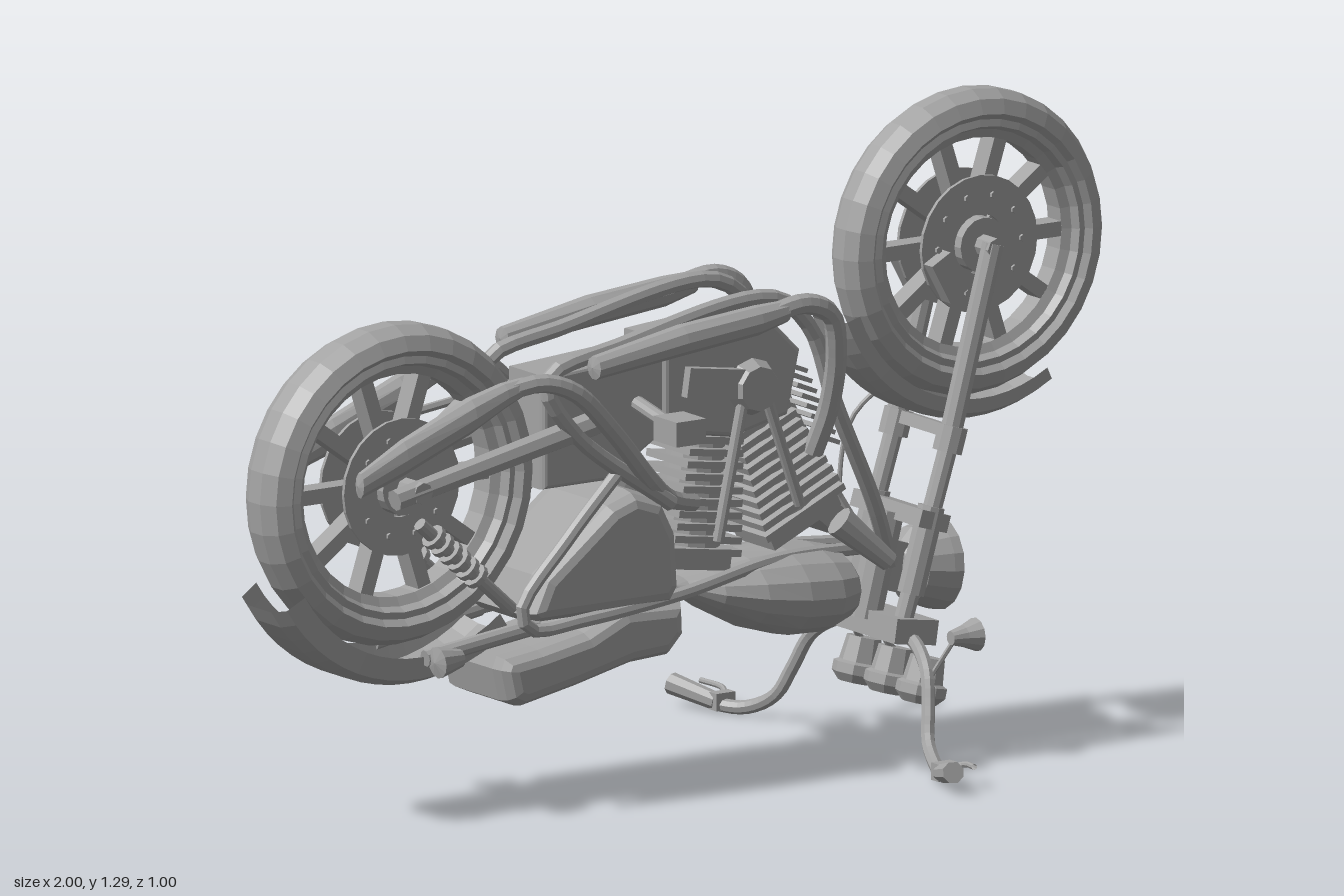
import * as THREE from 'three';

const metal = new THREE.MeshStandardMaterial({ color: 0xa3a3a3, side: THREE.DoubleSide, flatShading: true });
metal.name = 'grey metal';
const V = (x, y, z) => new THREE.Vector3(x, y, z);
const P2 = pts => pts.map(p => new THREE.Vector2(...p));

export function createModel() {
  const root = new THREE.Group();
  root.name = 'motorcycle';
  const bike = new THREE.Group();
  bike.name = 'upturnedBike';
  bike.rotation.y = 0.03;
  bike.position.z = 0.018;
  root.add(bike);

  const add = (name, geo, parent = bike) => {
    const m = new THREE.Mesh(geo, metal);
    m.name = name;
    parent.add(m);
    return m;
  };
  const box = (name, x, y, z, w, h, d, rot = 0) => {
    const m = add(name, new THREE.BoxGeometry(w, h, d));
    m.position.set(x, y, z);
    m.rotation.z = rot;
    return m;
  };
  // straight rod, optionally tapered
  const rod = (name, a, b, r0, r1 = r0, n = 10, parent = bike) => {
    const p = V(...a), q = V(...b), d = q.clone().sub(p);
    const m = add(name, new THREE.CylinderGeometry(r1, r0, d.length(), n), parent);
    m.position.copy(p).add(q).multiplyScalar(0.5);
    m.quaternion.setFromUnitVectors(V(0, 1, 0), d.normalize());
    return m;
  };
  const tube = (name, pts, r, seg = 24) =>
    add(name, new THREE.TubeGeometry(new THREE.CatmullRomCurve3(pts.map(p => V(...p)), false, 'centripetal'), seg, r, 8));
  // turned part whose axis points along dir
  const cup = (name, profile, pos, dir, n = 12) => {
    const m = add(name, new THREE.LatheGeometry(P2(profile), n));
    m.position.set(...pos);
    m.quaternion.setFromUnitVectors(V(0, 1, 0), V(...dir).normalize());
    return m;
  };
  // rounded body from elliptic sections [x, y, halfHeight, halfWidth]
  const loft = (name, rows, z = 0, n = 14) => {
    const pos = [], idx = [];
    rows.forEach(([x, y, h, w]) => {
      for (let i = 0; i < n; i++) {
        const a = i / n * Math.PI * 2;
        pos.push(x, y + h * Math.sin(a), z + w * Math.cos(a));
      }
    });
    for (let r = 0; r < rows.length - 1; r++) for (let i = 0; i < n; i++) {
      const a = r * n + i, b = r * n + (i + 1) % n;
      idx.push(a, b, a + n, b, b + n, a + n);
    }
    const g = new THREE.BufferGeometry();
    g.setAttribute('position', new THREE.Float32BufferAttribute(pos, 3));
    g.setIndex(idx);
    g.computeVertexNormals();
    return add(name, g);
  };
  // side outline with bevelled edges, centred on z
  const slab = (name, pts, depth, bevel) => {
    const g = new THREE.ExtrudeGeometry(new THREE.Shape(P2(pts)), {
      depth: depth - 2 * bevel, bevelThickness: bevel, bevelSize: bevel * 0.6, bevelOffset: -bevel * 0.6, bevelSegments: 3 });
    g.translate(0, 0, bevel - depth / 2);
    return add(name, g);
  };
  // profile [radius, z] turned about the z axis, from angle a0 to a1
  const ring = (name, pts, n, parent, a0 = 0, a1 = Math.PI * 2) =>
    add(name, new THREE.LatheGeometry(P2(pts), n, a0 + Math.PI / 2, a1 - a0).rotateX(Math.PI / 2), parent);

  // Wheels: tyre, rim, spokes, brake discs, hub
  const wheel = (name, x, y, z, R, w, rim, axle) => {
    const g = new THREE.Group();
    g.name = name;
    g.position.set(x, y, z);
    bike.add(g);
    ring('tyre', [[rim, -w * 0.75], [R - 0.045, -w], [R - 0.016, -w * 0.8], [R, -w * 0.3], [R, w * 0.3],
      [R - 0.016, w * 0.8], [R - 0.045, w], [rim, w * 0.75]], 32, g);
    ring('rim', [[rim + 0.005, -w * 0.78], [rim - 0.012, -w * 0.85], [rim - 0.02, -w * 0.55], [rim - 0.038, -w * 0.4],
      [rim - 0.038, w * 0.4], [rim - 0.02, w * 0.55], [rim - 0.012, w * 0.85], [rim + 0.005, w * 0.78]], 32, g);
    for (let i = 0; i < 10; i++) {
      const a = i * Math.PI / 5, c = Math.cos(a), s = Math.sin(a);
      const sp = add('spoke', new THREE.BoxGeometry(rim - 0.06, 0.03, 0.045), g);
      sp.position.set(c * rim * 0.55, s * rim * 0.55, 0);
      sp.rotation.z = a;
      for (const k of [-1, 1])
        rod('discBolt', [c * 0.1, s * 0.1, k * 0.04], [c * 0.1, s * 0.1, k * 0.05], 0.007, 0.007, 6, g);
    }
    for (const k of [-1, 1])
      ring('brakeDisc', [[0.06, k * 0.036], [0.138, k * 0.036], [0.138, k * 0.044], [0.06, k * 0.044], [0.06, k * 0.036]], 24, g);
    rod('hub', [0, 0, -0.058], [0, 0, 0.058], 0.055, 0.055, 16, g);
    rod('axle', [0, 0, -axle], [0, 0, axle], 0.022, 0.022, 8, g);
  };
  wheel('frontWheel', 0.69, 0.982, 0.006, 0.307, 0.057, 0.248, 0.105);
  wheel('rearWheel', -0.684, 0.665, 0, 0.322, 0.066, 0.262, 0.12);

  // Fenders: curved gutters swept around part of each wheel
  const fender = (name, x, y, r, drop, w, a0, a1) => {
    const m = ring(name, [[r - drop, -w], [r - 0.015, -w * 0.92], [r, -w * 0.5], [r, w * 0.5],
      [r - 0.015, w * 0.92], [r - drop, w]], 16, bike, a0, a1);
    m.position.set(x, y, 0);
  };
  fender('frontFender', 0.683, 0.985, 0.354, 0.044, 0.068, 3.5, 5.24);
  fender('rearFender', -0.67, 0.645, 0.378, 0.06, 0.085, 3.68, 5.36);

  // Seat, tank, side cover
  slab('seat', [[-0.49, 0.28], [-0.475, 0.215], [-0.44, 0.2], [-0.31, 0.225], [-0.18, 0.255], [-0.09, 0.26], [-0.052, 0.3],
    [-0.055, 0.37], [-0.2, 0.375], [-0.29, 0.335], [-0.4, 0.315], [-0.48, 0.305]], 0.25, 0.05);
  loft('fuelTank', [[0, 0.372, 0.001, 0.001], [0.005, 0.372, 0.02, 0.045], [0.06, 0.36, 0.045, 0.09], [0.14, 0.348, 0.075, 0.125],
    [0.23, 0.338, 0.092, 0.142], [0.31, 0.333, 0.09, 0.14], [0.36, 0.335, 0.075, 0.12], [0.39, 0.335, 0.045, 0.075], [0.4, 0.335, 0.001, 0.001]], 0, 16);
  slab('sideCover', [[-0.435, 0.385], [-0.41, 0.365], [-0.09, 0.365], [-0.068, 0.4], [-0.075, 0.51], [-0.11, 0.58],
    [-0.18, 0.605], [-0.24, 0.585], [-0.4, 0.46]], 0.26, 0.05);

  // Engine: crankcase, gearbox, finned cylinders in a V
  slab('crankcase', [[-0.08, 0.89], [0.17, 0.91], [0.25, 0.83], [0.22, 0.7], [0.09, 0.67], [-0.08, 0.7]], 0.15, 0.02);
  slab('gearbox', [[-0.36, 0.85], [-0.07, 0.87], [-0.07, 0.7], [-0.2, 0.62], [-0.36, 0.62]], 0.13, 0.015);
  const cylinder = (name, x0, y0, x1, y1, w0, w1) => {
    const rot = Math.atan2(y1 - y0, x1 - x0) + Math.PI / 2;
    for (let i = 0; i < 10; i++) {
      const t = i / 9;
      box(name + 'Fin', x0 + (x1 - x0) * t, y0 + (y1 - y0) * t, 0, w0 + (w1 - w0) * t, 0.014, 0.14 + 0.02 * t, rot);
    }
    rod(name + 'Barrel', [x0, y0, 0], [x1, y1, 0], 0.055, 0.07, 12);
    const u = V(x1 - x0, y1 - y0, 0).normalize();
    box(name + 'Head', x1 + u.x * 0.02, y1 + u.y * 0.02, 0, w1 * 0.85, 0.035, 0.13, rot);
  };
  cylinder('rearCylinder', 0.052, 0.67, 0.02, 0.45, 0.125, 0.165);
  cylinder('frontCylinder', 0.165, 0.695, 0.255, 0.5, 0.135, 0.205);
  for (const s of [-1, 1]) {
    rod('timingCover', [0.13, 0.77, s * 0.07], [0.13, 0.77, s * 0.105], 0.06, 0.045, 10);
    box('caseRib', 0.04, 0.79, s * 0.08, 0.15, 0.06, 0.03, -0.15);
    rod('pushrod', [0.1, 0.74, s * 0.085], [0.045, 0.47, s * 0.08], 0.012);
    rod('pushrod', [0.16, 0.74, s * 0.085], [0.24, 0.52, s * 0.08], 0.012);
  }
  for (let i = 0; i < 8; i++) box('coolerFin', 0.25 + i * 0.011, 0.79 - i * 0.022, 0, 0.05, 0.009, 0.12, -0.4);
  const cleaner = rod('airCleaner', [0.11, 0.5, -0.08], [0.11, 0.5, -0.145], 0.075, 0.06, 16);
  cleaner.scale.set(1.4, 1, 0.72);
  rod('horn', [0.32, 0.48, 0.1], [0.42, 0.39, 0.13], 0.032, 0.02);
  box('coil', 0.34, 0.48, 0, 0.08, 0.05, 0.1, -0.7);

  // Parts that repeat on both sides
  for (const s of [-1, 1]) {
    // exhausts
    loft('longMuffler', [[-0.845, 0.7, 0.001, 0.001], [-0.84, 0.702, 0.026, 0.015], [-0.74, 0.745, 0.036, 0.024], [-0.58, 0.81, 0.036, 0.03],
      [-0.5, 0.84, 0.026, 0.024], [-0.45, 0.853, 0.018, 0.018]], s * 0.125, 10);
    tube('rearExhaustPipe', [[-0.48, 0.848, s * 0.125], [-0.41, 0.856, s * 0.135], [-0.34, 0.83, s * 0.145], [-0.25, 0.74, s * 0.145],
      [-0.14, 0.62, s * 0.12], [-0.07, 0.57, s * 0.08], [0.0, 0.55, s * 0.06]], 0.019);
    loft('upperMuffler', [[-0.31, 0.878, 0.001, 0.001], [-0.305, 0.878, 0.024, 0.024], [-0.1, 0.908, 0.031, 0.033], [0.08, 0.925, 0.03, 0.03],
      [0.15, 0.935, 0.022, 0.022]], s * 0.16, 10);
    tube('frontExhaustPipe', [[0.1, 0.93, s * 0.16], [0.2, 0.944, s * 0.16], [0.26, 0.915, s * 0.158], [0.283, 0.84, s * 0.145],
      [0.29, 0.72, s * 0.11], [0.275, 0.62, s * 0.075]], 0.021);
    // frame rails
    tube('frameCradle', [[0.49, 0.36, s * 0.03], [0.42, 0.5, s * 0.075], [0.31, 0.72, s * 0.1], [0.25, 0.88, s * 0.1], [0.16, 0.95, s * 0.1],
      [-0.2, 0.9, s * 0.1], [-0.38, 0.85, s * 0.105], [-0.32, 0.74, s * 0.11], [-0.09, 0.57, s * 0.115]], 0.017, 48);
    tube('seatRail', [[0.45, 0.4, s * 0.03], [0.2, 0.41, s * 0.06], [-0.06, 0.38, s * 0.1], [-0.3, 0.362, s * 0.12], [-0.43, 0.36, s * 0.12],
      [-0.45, 0.4, s * 0.12], [-0.34, 0.53, s * 0.12], [-0.2, 0.66, s * 0.11]], 0.014, 40);
    rod('swingarm', [-0.74, 0.655, s * 0.1], [-0.26, 0.75, s * 0.095], 0.022, 0.026, 8);
    // spring shock
    rod('shockRod', [-0.68, 0.6, s * 0.1], [-0.46, 0.4, s * 0.1], 0.014);
    for (let i = 0; i < 6; i++) {
      const x = -0.65 + i * 0.02, y = 0.573 - i * 0.0182;
      rod('shockCoil', [x, y, s * 0.1], [x + 0.009, y - 0.0082, s * 0.1], 0.026);
    }
    rod('fenderStrut', [-0.66, 0.325, s * 0.09], [-0.4, 0.36, s * 0.1], 0.017);
    cup('rearSignal', [[0, 0], [0.018, 0], [0.026, 0.03], [0.032, 0.055], [0, 0.062]], [-0.6, 0.325, s * 0.125], [-1, -0.05, 0]);
    // pegs
    rod('pegArm', [-0.14, 0.77, s * 0.07], [-0.14, 0.745, s * 0.19], 0.015);
    box('footPeg', -0.135, 0.742, s * 0.21, 0.07, 0.05, 0.08);
    // fork
    box('brakeCaliper', 0.6, 0.93, s * 0.065, 0.05, 0.09, 0.03, 0.5);
    rod('forkSlider', [0.692, 0.99, s * 0.094], [0.585, 0.6, s * 0.094], 0.023);
    rod('forkCollar', [0.597, 0.635, s * 0.094], [0.582, 0.585, s * 0.094], 0.031);
    rod('forkTube', [0.59, 0.61, s * 0.094], [0.465, 0.22, s * 0.094], 0.02);
    rod('forkShroud', [0.545, 0.48, s * 0.094], [0.495, 0.31, s * 0.094], 0.028);
    // handlebar, grip, lever
    tube('handlebar', [[0.485, 0.225, 0], [0.48, 0.225, s * 0.12], [0.46, 0.18, s * 0.2], [0.44, 0.11, s * 0.235], [0.42, 0.05, s * 0.265],
      [0.395, 0.016, s * 0.33], [0.367, 0.015, s * 0.39], [0.34, 0.03, s * 0.46]], 0.014, 32);
    rod('grip', [0.365, 0.02, s * 0.39], [0.325, 0.044, s * 0.49], 0.018, 0.022, 8);
    box('leverClamp', 0.375, 0.022, s * 0.385, 0.045, 0.035, 0.025);
    tube('lever', [[0.38, 0.025, s * 0.38], [0.4, 0.038, s * 0.42], [0.385, 0.045, s * 0.475]], 0.006, 10);
    // signal on a thin stalk
    rod('signalStalk', [0.465, 0.17, s * 0.21], [0.5, 0.25, s * 0.245], 0.005, 0.005, 6);
    cup('frontSignal', [[0, 0], [0.014, 0], [0.022, 0.03], [0.034, 0.06], [0, 0.066]], [0.485, 0.25, s * 0.248], [1, 0, 0]);
  }

  // Fork yokes, steering neck and headlight
  box('fenderBracket', 0.6, 0.62, 0, 0.04, 0.025, 0.2, -0.3);
  box('lowerYoke', 0.535, 0.455, 0, 0.07, 0.035, 0.24, -0.3);
  box('upperYoke', 0.485, 0.24, 0, 0.1, 0.05, 0.26, -0.15);
  rod('steeringNeck', [0.505, 0.46, 0], [0.45, 0.25, 0], 0.035);
  cup('headlight', [[0, 0], [0.04, 0.005], [0.075, 0.035], [0.09, 0.085], [0.093, 0.105], [0.085, 0.11], [0.05, 0.125], [0, 0.13]],
    [0.52, 0.347, 0], [1, -0.08, 0], 16);
  box('headlightBracket', 0.51, 0.35, 0, 0.05, 0.1, 0.05, -0.3);

  // Three gauges hung from the yoke
  for (const z of [-0.11, 0, 0.11]) {
    rod('gaugeStem', [0.49, 0.22, z * 0.9], [0.515, 0.18, z], 0.008, 0.008, 6);
    cup('gauge', [[0, 0], [0.035, 0], [0.041, 0.05], [0.051, 0.055], [0.051, 0.075], [0.035, 0.092], [0, 0.092]], [0.525, 0.182, z], [-0.25, -1, 0], 8);
  }

  // Control cable, belt and drive pulley
  tube('cable', [[0.57, 0.72, -0.06], [0.5, 0.62, -0.12], [0.48, 0.45, -0.13], [0.5, 0.28, -0.1]], 0.005, 20);
  rod('drivePulley', [-0.684, 0.665, -0.075], [-0.684, 0.665, -0.09], 0.1, 0.1, 20);
  for (const k of [-1, 1]) rod('driveBelt', [-0.684, 0.665 + k * 0.098, -0.085], [-0.22, 0.77 + k * 0.05, -0.085], 0.009, 0.009, 6);
  return root;
}
